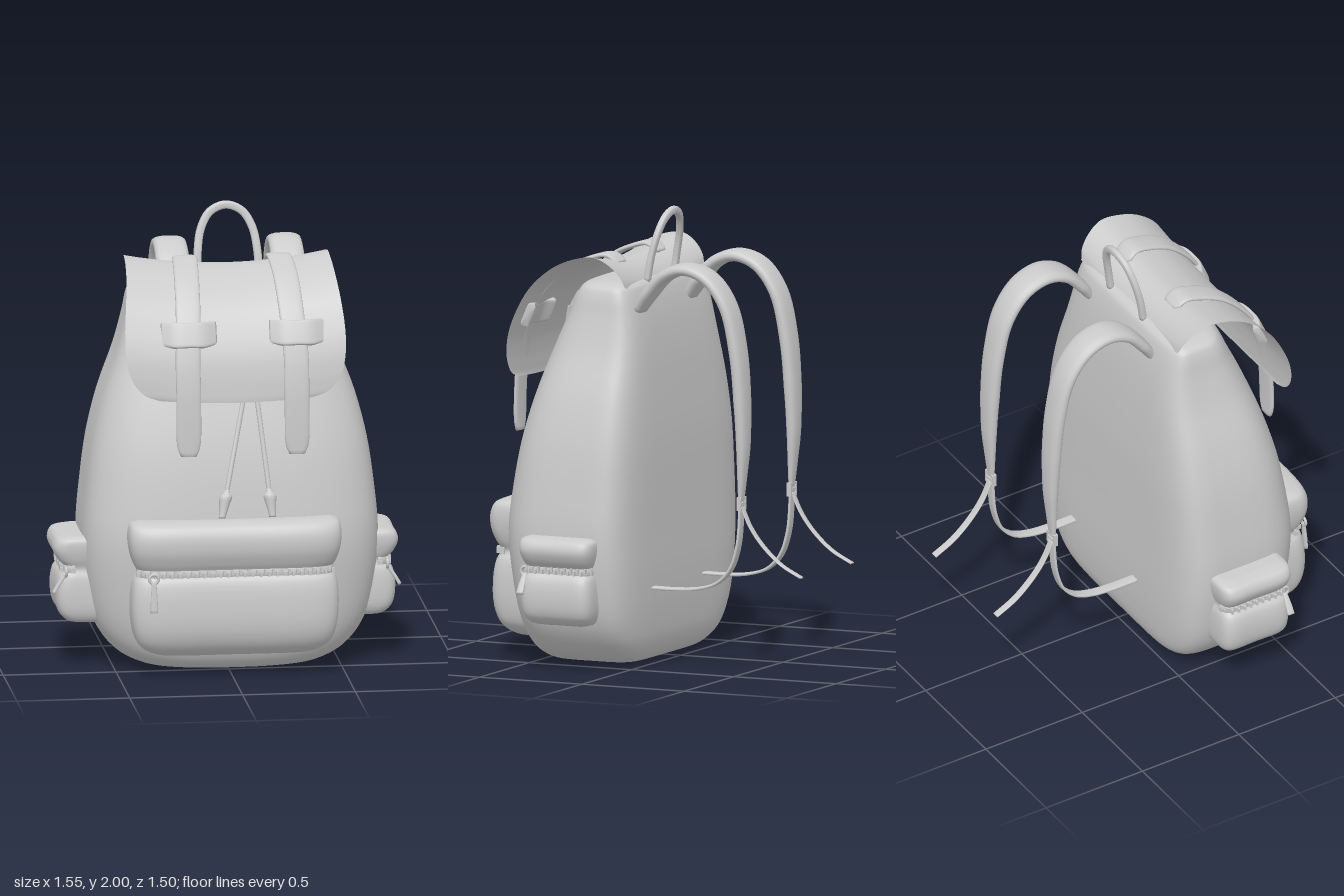
import * as THREE from 'three';
import { mergeGeometries } from 'three/addons/utils/BufferGeometryUtils.js';

const V = (x, y, z) => new THREE.Vector3(x, y, z);
const material = new THREE.MeshStandardMaterial({ color: 0xcccccc, roughness: 0.8 });
const clothMaterial = new THREE.MeshStandardMaterial({ color: 0xcccccc, roughness: 0.8, side: THREE.DoubleSide });

function add(parent, name, geometry, mat = material) {
  const mesh = new THREE.Mesh(geometry, mat);
  mesh.name = name;
  parent.add(mesh);
  return mesh;
}

// Closed skin over a stack of rings with equal point counts, capped at both ends
function skin(rings) {
  const n = rings[0].length, last = (rings.length - 1) * n, pos = [], idx = [];
  const center = ring => ring.reduce((s, p) => s.add(p), V(0, 0, 0)).divideScalar(n);
  rings.flat().concat(center(rings[0]), center(rings.at(-1))).forEach(p => pos.push(p.x, p.y, p.z));
  for (let j = 0; j < n; j++) {
    const k = (j + 1) % n;
    for (let a = 0; a < last; a += n) idx.push(a + j, a + n + j, a + n + k, a + j, a + n + k, a + k);
    idx.push(last + n, j, k, last + n + 1, last + k, last + j);
  }
  const g = new THREE.BufferGeometry();
  g.setAttribute('position', new THREE.Float32BufferAttribute(pos, 3));
  g.setIndex(idx);
  g.computeVertexNormals();
  return g;
}

// Unit superellipse point
function oval(a, n) {
  const f = v => Math.sign(v) * Math.abs(v) ** (2 / n);
  return [f(Math.cos(a)), f(Math.sin(a))];
}

// Upright soft volume; rows are [y, half width, back z, front z], dent hollows the front
function loft(rows, nBack, nFront, dent = 0, segs = 72, steps = 4) {
  const a = new THREE.CatmullRomCurve3(rows.map(r => V(r[0], r[1], 0)));
  const b = new THREE.CatmullRomCurve3(rows.map(r => V(r[0], r[2], r[3])));
  const rings = [], count = (rows.length - 1) * steps;
  for (let i = 0; i <= count; i++) {
    const p = a.getPoint(i / count), q = b.getPoint(i / count);
    rings.push(Array.from({ length: segs }, (_, j) => {
      const [c, s] = oval((j / segs) * Math.PI * 2, j * 2 < segs ? nFront : nBack);
      return V(c * p.y, p.x, (q.y + q.z) / 2 + s * (q.z - q.y) / 2 - dent * (1 - c * c) * Math.max(s, 0));
    }));
  }
  return skin(rings);
}

// Strap along a path; width runs along the axis, w and t may vary along the length
function sweep(points, w, t, { axis = V(1, 0, 0), n = 3, steps = 30, segs = 16 } = {}) {
  const curve = new THREE.CatmullRomCurve3(points.map(p => V(...p)));
  const at = (v, u) => {
    if (typeof v === 'number') return v;
    const f = u * (v.length - 1), i = Math.min(Math.floor(f), v.length - 2);
    return THREE.MathUtils.lerp(v[i], v[i + 1], f - i);
  };
  const rings = [];
  for (let i = 0; i <= steps; i++) {
    const u = i / steps, p = curve.getPoint(u), tan = curve.getTangent(u);
    const m = axis.clone().cross(tan).normalize();
    rings.push(Array.from({ length: segs }, (_, j) => {
      const [c, s] = oval((j / segs) * Math.PI * 2, n);
      return p.clone().addScaledVector(axis, c * at(w, u) / 2).addScaledVector(m, s * at(t, u) / 2);
    }));
  }
  return skin(rings);
}

// Flap sheet: rows are [z, y, half width], sagging toward the middle
function flapGeometry(rows) {
  const curve = new THREE.CatmullRomCurve3(rows.map(r => V(r[2], r[1], r[0])));
  const g = new THREE.PlaneGeometry(2, 1, 24, 60), p = g.attributes.position;
  for (let i = 0; i < p.count; i++) {
    const u = p.getX(i), q = curve.getPoint(0.5 - p.getY(i));
    const mid = 1 - u * u, high = THREE.MathUtils.clamp((q.y - 1.25) / 0.5, 0, 1);
    p.setXYZ(i, u * q.x, q.y - mid * (0.015 + 0.03 * high), q.z + 0.012 * mid * (1 - high));
  }
  g.computeVertexNormals();
  return g;
}

// Zipped pocket facing +z, with its puller near one end
function pocket(name, rows, dent, { y, half, zb, zf, teeth }, { x: px, z: pz, length, tilt }) {
  const group = new THREE.Group();
  group.name = name;
  add(group, 'pocketBody', loft(rows, 5, 4.5, dent));
  const boxes = [], path = [];
  for (let i = 0; i <= teeth; i++) {
    const u = (i / teeth) * 2 - 1, x = u * half;
    const s = (1 - Math.abs(u * 0.985) ** 4.5) ** (1 / 4.5);
    const z = (zb + zf) / 2 + s * (zf - zb) / 2 - dent * (1 - u * u) * s;
    path.push([x, y, z]);
    const tooth = new THREE.BoxGeometry(half / teeth * 1.15, 0.02, 0.022);
    boxes.push(tooth.translate(x, y + (i % 2 ? 0.006 : -0.006), z + 0.008));
  }
  add(group, 'zipTeeth', mergeGeometries(boxes));
  add(group, 'zipTape', sweep(path, 0.038, 0.012, { axis: V(0, 1, 0), steps: 60, segs: 8 }));
  add(group, 'zipRing', new THREE.TorusGeometry(0.02, 0.007, 8, 20)).position.set(px, y - 0.01, pz);
  add(group, 'zipPuller', sweep([[px, y - 0.02, pz], [px, y - 0.03 - length / 2, pz + tilt * 0.6],
    [px, y - 0.03 - length, pz + tilt]], [0.02, 0.03, 0.034], 0.016, { steps: 10 }));
  return group;
}

export function createModel() {
  const model = new THREE.Group();
  model.name = 'backpack';

  // Main bag: flat back with firm edges, rounder front
  add(model, 'body', loft([
    [0, 0.30, 0.09, 0.47], [0.02, 0.41, 0.04, 0.52], [0.08, 0.515, 0, 0.565], [0.2, 0.6, -0.02, 0.6],
    [0.4, 0.645, -0.03, 0.63], [0.6, 0.657, -0.03, 0.645], [0.8, 0.64, -0.03, 0.625], [1.0, 0.612, -0.028, 0.59],
    [1.2, 0.562, -0.018, 0.535], [1.4, 0.49, -0.003, 0.465], [1.55, 0.45, 0.018, 0.4], [1.64, 0.432, 0.04, 0.36],
    [1.68, 0.412, 0.06, 0.33], [1.7, 0.34, 0.12, 0.28]], 6, 3.1)).position.x = 0.02;

  // Flap over the opening
  add(model, 'flap', flapGeometry([
    [0.07, 1.68, 0.4], [0.085, 1.725, 0.418], [0.13, 1.778, 0.435], [0.2, 1.813, 0.45], [0.3, 1.8, 0.455],
    [0.4, 1.755, 0.462], [0.5, 1.665, 0.475], [0.565, 1.55, 0.487], [0.6, 1.45, 0.487], [0.615, 1.36, 0.47],
    [0.62, 1.3, 0.435], [0.622, 1.27, 0.4], [0.622, 1.248, 0.34]]), clothMaterial).position.x = 0.02;

  // Flap straps with curved keepers
  const front = [[0.17, 1.765], [0.22, 1.8], [0.3, 1.785], [0.4, 1.74], [0.5, 1.65], [0.575, 1.54],
    [0.617, 1.42], [0.638, 1.3], [0.645, 1.2], [0.648, 1.1], [0.648, 1.0]];
  for (const [top, bottom] of [[-0.155, -0.195], [0.245, 0.285]]) {
    const path = front.map(([z, y], i) => [THREE.MathUtils.lerp(top, bottom, Math.min(1, i / 6)), y, z]);
    add(model, 'flapStrap', sweep(path, [0.08, ...Array(26).fill(0.11), 0.108, 0.098, 0.07], 0.022, { steps: 58 }));
    add(model, 'strapKeeper', sweep([[-0.115, 0, -0.035], [-0.06, 0, -0.006], [0, 0, 0], [0.06, 0, -0.006], [0.115, 0, -0.035]],
      [0.105, 0.118, 0.112, 0.118, 0.105], 0.038, { axis: V(0, 0.92, -0.39), n: 6 })).position.set(bottom + 0.01, 1.53, 0.583);
  }

  // Drawcords and their end stoppers
  const taper = [0.022, 0.03, 0.056, 0.056, 0.05, 0.045, 0.04, 0.036, 0.032, 0.03];
  for (const [x0, x1] of [[0.125, -0.035], [0.085, 0.16]]) {
    const at = y => [THREE.MathUtils.mapLinear(y, 1.54, 0.82, x0, x1), y, THREE.MathUtils.mapLinear(y, 1.54, 0.82, 0.48, 0.68)];
    add(model, 'drawcord', sweep([at(1.54), at(1.2), at(0.82)], 0.022, 0.022, { n: 2, steps: 8, segs: 10 }));
    add(model, 'cordStopper', sweep([at(0.85), at(0.79), at(0.73)], taper, taper, { n: 2, steps: 18 }));
  }

  // Carry handle
  add(model, 'carryHandle', sweep([[-0.085, 1.68, 0.075], [-0.085, 1.78, 0.06], [-0.068, 1.885, 0.038], [-0.025, 1.957, 0.022], [0.045, 1.984, 0.015],
    [0.115, 1.957, 0.022], [0.16, 1.885, 0.038], [0.18, 1.78, 0.06], [0.185, 1.68, 0.075]], 0.03, 0.036, { axis: V(0, 0, 1), steps: 48 }));

  // Shoulder straps, adjusters, lower webbing and loose tails
  for (const x of [-0.18, 0.33]) {
    const side = pts => pts.map(([z, y]) => [x, y, z]);
    add(model, 'shoulderStrap', sweep(side([[0.04, 1.58], [-0.01, 1.65], [-0.09, 1.735], [-0.19, 1.77], [-0.3, 1.735], [-0.39, 1.62], [-0.44, 1.42],
      [-0.46, 1.2], [-0.465, 1.0], [-0.46, 0.87], [-0.455, 0.76]]), [0.12, 0.15, 0.15, 0.148, 0.145, 0.14, 0.13, 0.115, 0.09, 0.065, 0.045],
      [0.05, 0.055, 0.055, 0.055, 0.055, 0.055, 0.06, 0.06, 0.05, 0.035, 0.02], { steps: 60, n: 2.6 }));
    for (const y of [0.77, 0.745, 0.72])
      add(model, 'strapAdjuster', new THREE.BoxGeometry(0.06, 0.01, 0.022)).position.set(x, y, -0.456);
    for (const s of [-1, 1])
      add(model, 'strapAdjuster', new THREE.BoxGeometry(0.01, 0.06, 0.02)).position.set(x + s * 0.027, 0.745, -0.456);
    add(model, 'lowerWebbing', sweep(side([[-0.455, 0.76], [-0.452, 0.65], [-0.44, 0.55], [-0.405, 0.45], [-0.34, 0.385], [-0.25, 0.355],
      [-0.14, 0.345], [-0.01, 0.345]]), 0.048, 0.014, { n: 4 }));
    add(model, 'webbingTail', sweep(side([[-0.46, 0.73], [-0.5, 0.645], [-0.56, 0.565], [-0.65, 0.485], [-0.75, 0.432]]), 0.034, 0.008, { n: 4 }));
  }

  // Front pocket
  const frontPocket = pocket('frontPocket', [
    [0.09, 0.27, 0.49, 0.61], [0.105, 0.36, 0.46, 0.66], [0.15, 0.425, 0.45, 0.71], [0.23, 0.452, 0.45, 0.74], [0.36, 0.46, 0.45, 0.742],
    [0.44, 0.45, 0.45, 0.728], [0.48, 0.432, 0.45, 0.708], [0.52, 0.45, 0.45, 0.728], [0.58, 0.467, 0.45, 0.75],
    [0.65, 0.472, 0.45, 0.75], [0.695, 0.46, 0.46, 0.725], [0.71, 0.42, 0.48, 0.67]], 0.01,
    { y: 0.48, half: 0.432, zb: 0.45, zf: 0.71, teeth: 48 }, { x: -0.37, z: 0.735, length: 0.13, tilt: 0.01 });
  frontPocket.position.x = 0.01;
  model.add(frontPocket);

  // Side pockets, mirrored
  for (const s of [-1, 1]) {
    const sidePocket = pocket('sidePocket', [
      [0.2, 0.11, 0.5, 0.67], [0.212, 0.145, 0.49, 0.715], [0.25, 0.166, 0.48, 0.752], [0.33, 0.173, 0.48, 0.766], [0.41, 0.167, 0.48, 0.754],
      [0.45, 0.155, 0.48, 0.725], [0.49, 0.168, 0.48, 0.758], [0.54, 0.178, 0.48, 0.778], [0.583, 0.174, 0.49, 0.76], [0.598, 0.145, 0.5, 0.7]], 0.015,
      { y: 0.45, half: 0.158, zb: 0.48, zf: 0.728, teeth: 20 }, { x: -s * 0.152, z: 0.712, length: 0.075, tilt: 0.055 });
    sidePocket.rotation.y = s * Math.PI / 2;
    sidePocket.position.z = 0.265;
    model.add(sidePocket);
  }
  return model;
}
